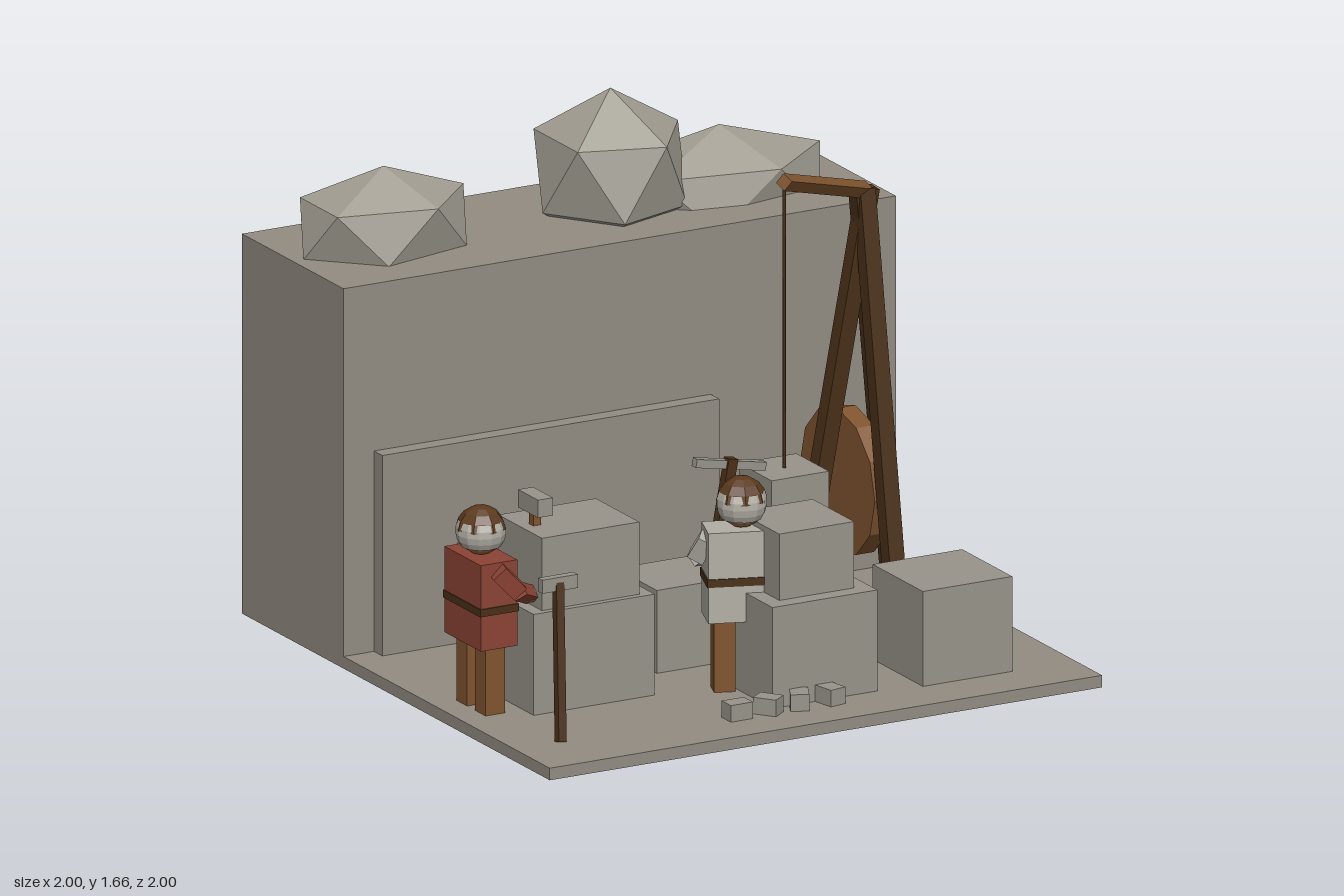
import * as THREE from 'three';
import { ConvexGeometry } from 'three/addons/geometries/ConvexGeometry.js';

const mat = (name, color, flat = false) => {
  const m = new THREE.MeshStandardMaterial({ color, flatShading: flat });
  m.name = name;
  return m;
};
const V = (p) => new THREE.Vector3(...p);

export function createModel() {
  const root = new THREE.Group();
  root.name = 'quarry';
  const stone = mat('quarryStone', 0x928c82);
  const cut = mat('cutStone', 0x98948a);
  const rock = mat('boulderStone', 0xa09c91, true);
  const darkWood = mat('darkWood', 0x4a3019);
  const wood = mat('wood', 0x80552f);
  const hair = mat('hair', 0x5c3a1e, true);
  const skin = mat('skin', 0x9a6a42, true);
  const pale = mat('paleCloth', 0xb2afa5, true);
  const red = mat('redCloth', 0x8c4334);

  const add = (name, geo, material, parent = root) => {
    const m = new THREE.Mesh(geo, material);
    m.name = name;
    parent.add(m);
    return m;
  };
  // box given by its minimum and maximum corners
  const block = (name, a, b, material, parent) => {
    const m = add(name, new THREE.BoxGeometry(b[0] - a[0], b[1] - a[1], b[2] - a[2]), material, parent);
    m.position.set((a[0] + b[0]) / 2, (a[1] + b[1]) / 2, (a[2] + b[2]) / 2);
    return m;
  };
  // square bar between two points
  const bar = (name, a, b, w, material, parent) => {
    const p = V(a), q = V(b), d = q.clone().sub(p);
    const m = add(name, new THREE.BoxGeometry(w, d.length(), w), material, parent);
    m.position.copy(p).add(q).multiplyScalar(0.5);
    m.quaternion.setFromUnitVectors(new THREE.Vector3(0, 1, 0), d.normalize());
    return m;
  };

  // ground and cliff
  block('ground', [-1, 0.005, -1], [1, 0.045, 1], stone);
  block('cliff', [-1, 0.045, -1], [1, 1.265, -0.34], stone);
  block('cliffLedge', [-0.89, 0.045, -0.345], [0.33, 0.71, -0.285], stone);

  // boulders: stretched twenty-sided rocks standing on a point
  const boulder = (center, r) => {
    const pts = [[0, 1, 0], [0, -1, 0]];
    for (let i = 0; i < 5; i++) {
      const a = (i * Math.PI * 2) / 5;
      const x = 0.894 * Math.cos(a), z = 0.894 * Math.sin(a);
      pts.push([x, 0.447, z], [-x, -0.447, z]);
    }
    const geo = new ConvexGeometry(pts.map((p) => V(p).multiply(V(r))));
    add('boulder', geo, rock).position.set(...center);
  };
  boulder([-0.67, 1.345, -0.673], [0.324, 0.185, 0.232]);
  boulder([0.16, 1.395, -0.688], [0.274, 0.262, 0.273]);
  boulder([0.555, 1.275, -0.69], [0.408, 0.2, 0.24]);

  // cut blocks
  block('leftBlock', [-0.775, 0.045, 0.166], [-0.337, 0.38, 0.492], cut);
  block('leftUpperBlock', [-0.733, 0.38, 0.187], [-0.38, 0.62, 0.47], cut);
  block('middleBlock', [-0.08, 0.045, 0.42], [0.3, 0.38, 0.797], cut);
  block('middleUpperBlock', [-0.025, 0.38, 0.472], [0.246, 0.6, 0.742], cut);
  block('rightBlock', [0.448, 0.045, 0.5], [0.772, 0.36, 0.826], cut);
  block('backBlock', [-0.22, 0.045, 0.03], [0.107, 0.32, 0.297], cut);
  block('hangingBlock', [0.118, 0.505, 0.222], [0.326, 0.67, 0.436], cut);

  // stone chips
  [0, 0.65, -0.45, 0.2].forEach((turn, i) => {
    const m = block('stoneChip', [-0.04, 0.045, -0.03], [0.04, 0.1, 0.03], cut);
    m.position.x = -0.225 + i * 0.112;
    m.position.z = 0.828;
    m.rotation.y = i === 0 ? 0 : turn + Math.PI / 2;
  });

  // crane tripod, jib and rope
  bar('craneLeg', [0.487, 0.045, -0.06], [0.685, 1.45, 0.045], 0.055, darkWood);
  bar('craneLeg', [0.835, 0.045, -0.06], [0.655, 1.45, 0.045], 0.055, darkWood);
  bar('craneLeg', [0.667, 0.045, 0.275], [0.667, 1.45, 0.05], 0.055, darkWood);
  bar('craneJib', [0.68, 1.44, 0.04], [0.215, 1.62, 0.342], 0.04, wood);
  const rope = add('rope', new THREE.CylinderGeometry(0.005, 0.005, 0.95, 6), darkWood);
  rope.position.set(0.22, 1.14, 0.335);

  // tread wheel
  const wheel = new THREE.Group();
  wheel.name = 'treadWheel';
  wheel.position.set(0.668, 0.45, -0.065);
  root.add(wheel);
  const disc = new THREE.CylinderGeometry(0.243, 0.243, 0.065, 12).toNonIndexed();
  disc.computeVertexNormals();
  add('wheelDisc', disc, wood, wheel).rotation.z = Math.PI / 2;
  for (let i = 0; i < 4; i++) {
    const s = add('wheelSpoke', new THREE.BoxGeometry(0.014, 0.45, 0.03), darkWood, wheel);
    s.position.x = 0.037;
    s.rotation.x = (i * Math.PI) / 4;
  }

  // tools
  block('malletHead', [-0.706, 0.663, 0.267], [-0.652, 0.722, 0.396], cut);
  bar('malletHandle', [-0.68, 0.615, 0.33], [-0.68, 0.67, 0.33], 0.028, wood);
  block('hammerHead', [-0.845, 0.51, 0.646], [-0.717, 0.555, 0.675], cut);
  bar('hammerHandle', [-0.835, 0.045, 0.775], [-0.78, 0.54, 0.66], 0.028, darkWood);
  bar('pickHead', [-0.122, 0.748, 0.365], [0.13, 0.7, 0.365], 0.028, cut);
  bar('pickHandle', [-0.055, 0.41, 0.37], [0.008, 0.745, 0.37], 0.034, darkWood);

  // worker body, facing local +z
  const worker = (name, x, z, yaw, scale, shirt) => {
    const g = new THREE.Group();
    g.name = name;
    g.position.set(x, 0, z);
    g.rotation.y = yaw;
    g.scale.set(1, scale, 1);
    root.add(g);
    for (const s of [-1, 1]) {
      block('leg', [s * 0.06 - 0.034, 0.03, -0.035], [s * 0.06 + 0.034, 0.28, 0.035], wood, g);
      block('boot', [s * 0.06 - 0.03, 0, -0.03], [s * 0.06 + 0.03, 0.05, 0.035], darkWood, g);
    }
    block('torso', [-0.118, 0.27, -0.066], [0.118, 0.555, 0.066], shirt, g);
    block('belt', [-0.122, 0.385, -0.07], [0.122, 0.41, 0.07], darkWood, g);
    const head = new THREE.Group();
    head.name = 'head';
    head.position.y = 0.63;
    g.add(head);
    add('face', new THREE.SphereGeometry(0.077, 10, 8), skin, head);
    // band of cloth around the head, open at the face
    const band = add('headCloth', new THREE.SphereGeometry(0.081, 10, 4, Math.PI * 0.7, Math.PI * 1.6, 1.1, 1.1), pale, head);
    band.material.side = THREE.DoubleSide;
    add('hair', new THREE.SphereGeometry(0.083, 8, 4, 0, Math.PI * 2, 0, 1.45), hair, head);
  };
  hair.side = THREE.DoubleSide;
  worker('leftWorker', -0.876, 0.33, Math.PI / 2, 1, red);
  worker('middleWorker', -0.06, 0.56, 2.8, 1.05, pale);

  // bent arm with a hand
  const arm = (shoulder, elbow, hand, sleeve) => {
    bar('upperArm', shoulder, elbow, 0.055, sleeve);
    bar('forearm', elbow, hand, 0.045, sleeve);
    add('hand', new THREE.SphereGeometry(0.026, 8, 6), skin).position.set(...hand);
  };
  for (const s of [-1, 1]) {
    arm([-0.885, 0.53, 0.33 + s * 0.125], [-0.815, 0.455, 0.33 + s * 0.135], [-0.745, 0.42, 0.33 + s * 0.085], red);
  }
  arm([-0.165, 0.55, 0.53], [-0.185, 0.48, 0.49], [-0.055, 0.44, 0.385], pale);
  arm([0.05, 0.55, 0.57], [0.06, 0.49, 0.47], [0.0, 0.47, 0.39], pale);

  return root;
}
